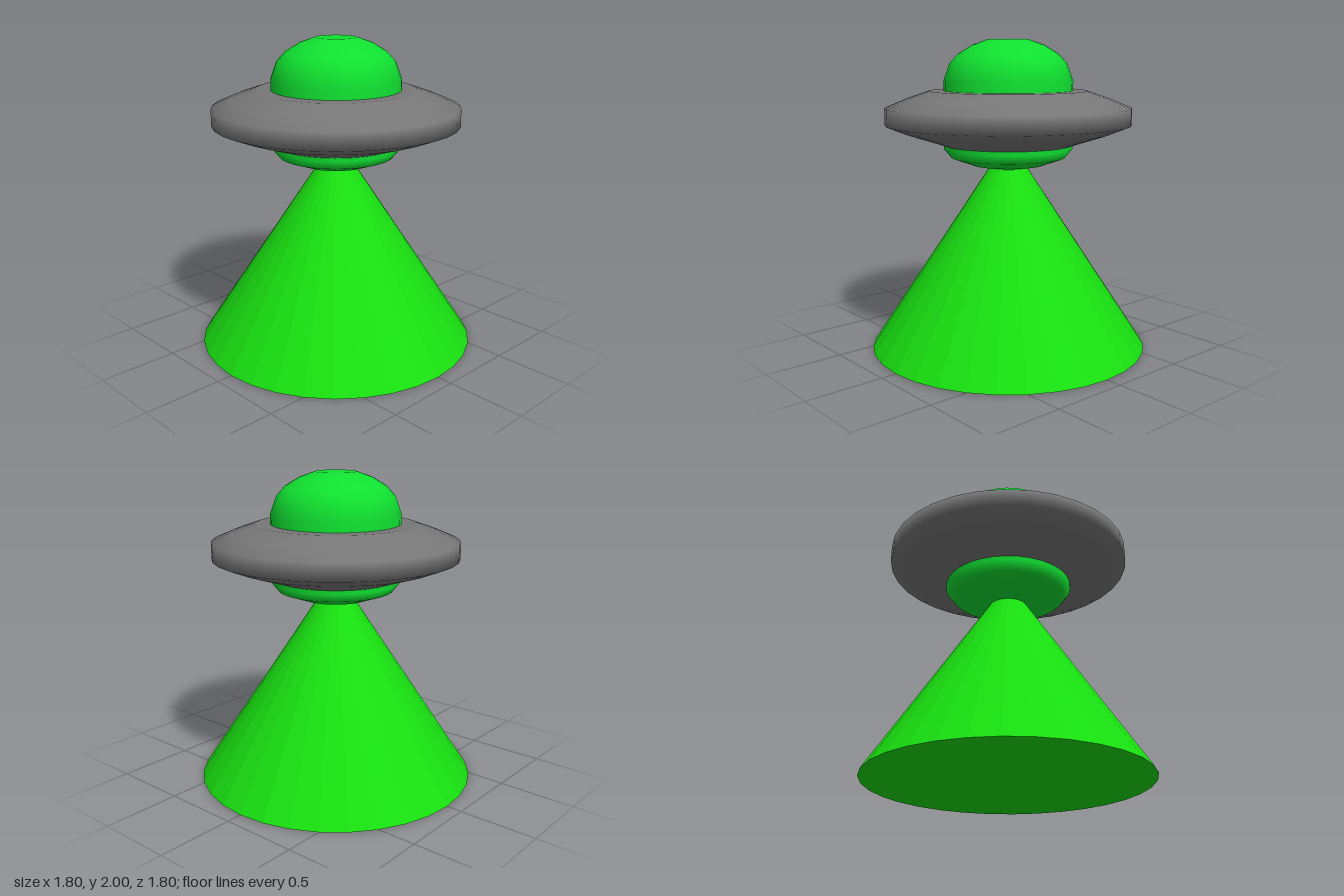
import * as THREE from 'three';

const SIDES = 32;

export function createModel() {
  const group = new THREE.Group();
  const paint = (color, flatShading = false) => new THREE.MeshStandardMaterial({ color, flatShading });
  const beamPaint = paint(0x18e010, true);
  const cabinPaint = paint(0x10e030);
  const hullPaint = paint(0x777777);

  function add(name, geometry, material, y = 0) {
    const mesh = new THREE.Mesh(geometry, material);
    mesh.name = name;
    mesh.position.y = y;
    group.add(mesh);
  }
  // Profiles run from bottom to top as [radius, height]
  const lathe = (profile) =>
    new THREE.LatheGeometry(profile.map(([r, y]) => new THREE.Vector2(r, y)), SIDES);
  const disc = (inner, outer, turn) =>
    new THREE.RingGeometry(inner, outer, SIDES).rotateX(turn * Math.PI / 2);

  // Faceted light beam, closed at the ground
  add('beam', new THREE.CylinderGeometry(0.12, 0.9, 1.185, SIDES), beamPaint, 0.5925);

  // Rounded cabin passing through the saucer, with flat caps
  add('cabin', lathe([
    [0.12, 1.18], [0.23, 1.2], [0.37, 1.25], [0.415, 1.305],
    [0.415, 1.74], [0.375, 1.85], [0.32, 1.91], [0.23, 1.965], [0.13, 2],
  ]), cabinPaint);
  add('cabinTop', disc(0, 0.13, -1), cabinPaint, 2);
  add('cabinBottom', disc(0, 0.12, 1), cabinPaint, 1.18);

  // Saucer hull with an upright rim and a flat ring around the cabin
  add('saucer', lathe([
    [0.4, 1.325], [0.52, 1.365], [0.66, 1.41], [0.79, 1.462],
    [0.79, 1.57], [0.66, 1.625], [0.51, 1.677],
  ]), hullPaint);
  add('saucerDeck', disc(0.4, 0.51, -1), hullPaint, 1.677);

  return group;
}
